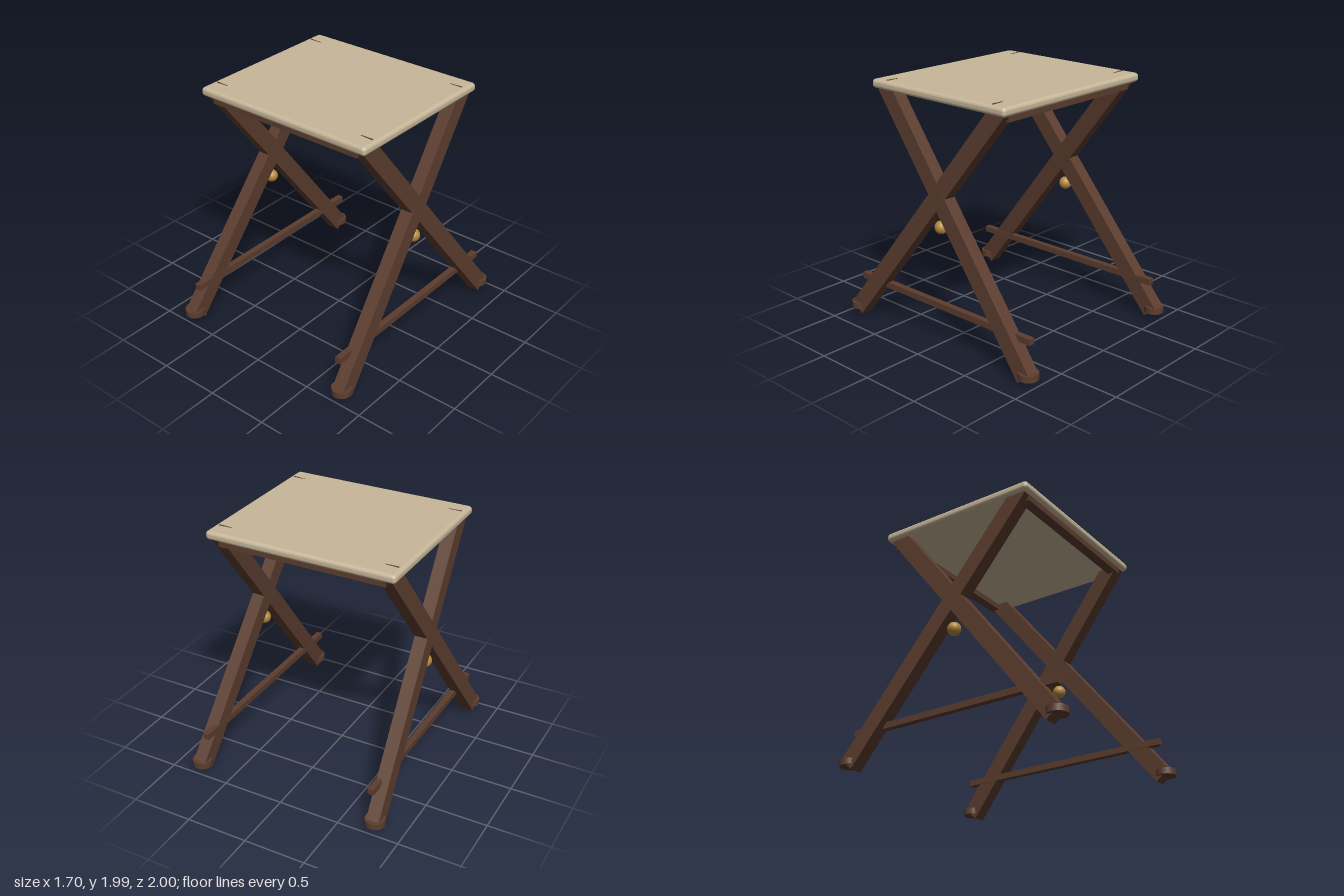
import * as THREE from 'three';
import { RoundedBoxGeometry } from 'three/addons/geometries/RoundedBoxGeometry.js';

export function createModel() {
  const wood = new THREE.MeshStandardMaterial({ name: 'dark wood', color: 0x5c3d2e });
  const canvas = new THREE.MeshStandardMaterial({ name: 'canvas', color: 0xc8b89a });
  const brass = new THREE.MeshStandardMaterial({ name: 'brass', color: 0xb5893c });
  const model = new THREE.Group();
  model.name = 'foldingStool';

  const add = (name, geometry, material, x, y, z) => {
    const mesh = new THREE.Mesh(geometry, material);
    mesh.name = name;
    mesh.position.set(x, y, z);
    model.add(mesh);
    return mesh;
  };

  // Seat pad with softly rounded edges
  add('seat', new RoundedBoxGeometry(1.544, 0.07, 1.364, 3, 0.028), canvas, 0, 1.96, 0);

  // Rails carrying the seat at the front and back
  for (const sz of [1, -1]) {
    add(sz > 0 ? 'frontRail' : 'backRail',
      new THREE.BoxGeometry(1.36, 0.08, 0.08), wood, 0, 1.915, sz * 0.605);
  }

  const up = new THREE.Vector3(0, 1, 0);
  for (const sx of [1, -1]) {
    const side = sx > 0 ? 'left' : 'right';

    // Crossed legs, leaning inwards towards the seat, each with a round foot
    for (const sz of [1, -1]) {
      const end = sz > 0 ? 'Front' : 'Back';
      const foot = new THREE.Vector3(sx * 0.772, 0.052, sz * 0.913);
      const top = new THREE.Vector3(sx * 0.683, 1.958, sz * -0.593);
      const mid = foot.clone().add(top).multiplyScalar(0.5);
      const leg = add(side + end + 'Leg',
        new THREE.BoxGeometry(0.105, foot.distanceTo(top), 0.136), wood, mid.x, mid.y, mid.z);
      leg.quaternion.setFromUnitVectors(up, top.sub(foot).normalize());
      add(side + end + 'Foot',
        new THREE.CylinderGeometry(0.08, 0.08, 0.05, 20), wood, sx * 0.772, 0.075, sz * 0.918);
    }

    // Low stretcher and brass knob below the crossing
    add(side + 'Stretcher', new THREE.BoxGeometry(0.05, 0.05, 1.82), wood, sx * 0.728, 0.32, 0);
    add(side + 'Knob', new THREE.SphereGeometry(0.053, 16, 12), brass, sx * 0.725, 0.96, 0);
  }
  return model;
}
